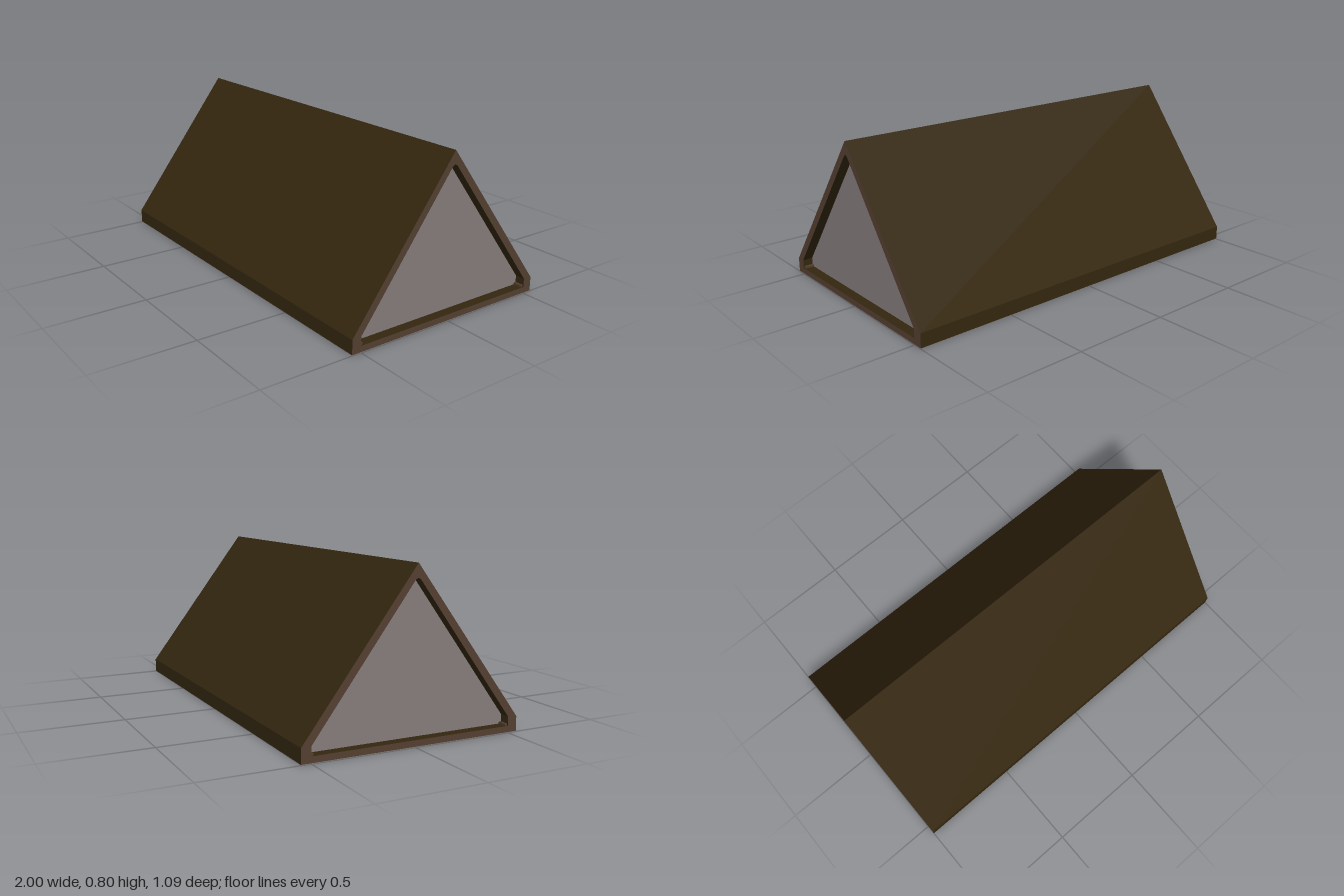
import * as THREE from 'three';

const material = (name, color) => {
  const m = new THREE.MeshStandardMaterial({ color });
  m.name = name;
  return m;
};

// Closed path from half of a symmetric outline, listed bottom to top
const outline = (half, PathType) => {
  const right = half.map(([x, y]) => new THREE.Vector2(x, y));
  const left = half.filter(([x]) => x > 0).reverse().map(([x, y]) => new THREE.Vector2(-x, y));
  return new PathType([...right, ...left]);
};

// Extrude a cross-section along x, centred on the given x
const extrudeX = (shape, depth, x) =>
  new THREE.ExtrudeGeometry(shape, { depth, bevelEnabled: false })
    .translate(0, 0, -depth / 2)
    .rotateY(Math.PI / 2)
    .translate(x, 0, 0);

export function createModel() {
  const group = new THREE.Group();
  const canvas = material('dark olive canvas', 0x34270f);
  const trim = material('brown trim', 0x543f31);
  const grey = material('warm grey cloth', 0x857d7c);

  const add = (name, geometry, mat) => {
    const mesh = new THREE.Mesh(geometry, mat);
    mesh.name = name;
    group.add(mesh);
  };

  const outer = [[0.547, 0.003], [0.547, 0.073], [0, 0.797]];
  const inner = [[0.5, 0.032], [0.5, 0.075], [0.012, 0.727], [0, 0.733]];

  // Tent shell: canvas sides and roof, brown rims at both open ends
  const shell = outline(outer, THREE.Shape);
  shell.holes.push(outline(inner, THREE.Path));
  add('tentShell', extrudeX(shell, 2, 0), [trim, canvas]);

  // Recessed end panels with small cleats in the lower corners
  for (const side of [-1, 1]) {
    add('endPanel', extrudeX(outline(inner, THREE.Shape), 0.01, side * 0.945), grey);
    for (const z of [-0.494, 0.494]) {
      add('cornerCleat', new THREE.BoxGeometry(0.045, 0.01, 0.012).translate(side * 0.972, 0.037, z), trim);
    }
  }

  // Ground sheet
  add('groundSheet', new THREE.BoxGeometry(2, 0.003, 1.094).translate(0, 0.0015, 0), grey);

  return group;
}
